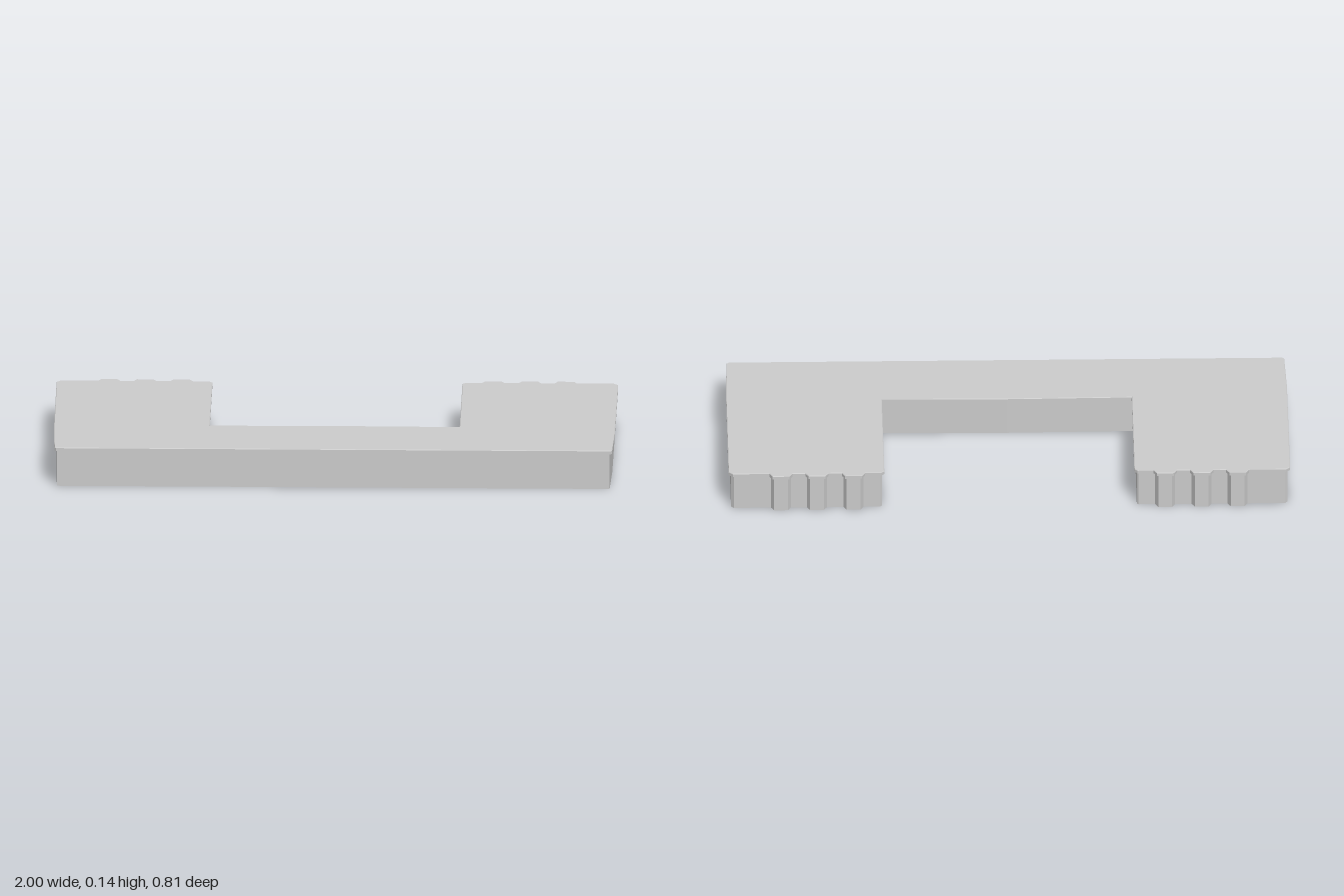
import * as THREE from 'three';

// Right half of the plan outline as [x, z], from notch centre round to front centre
function halfOutline() {
  const back = -0.387, ridge = -0.407;
  const pts = [[0, 0.13], [0.445, 0.135], [0.445, -0.375], [0.457, back]];
  for (const c of [0.555, 0.685, 0.813]) {
    pts.push([c - 0.041, back], [c - 0.03, ridge], [c + 0.03, ridge], [c + 0.041, back]);
  }
  pts.push([0.985, back], [1, -0.372], [0.999, 0.2], [0.993, 0.4], [0.987, 0.407]);
  return pts;
}

function fullOutline() {
  const half = halfOutline();
  const mirrored = half.slice(1).reverse().map(([x, z]) => [-x, z]);
  return [...half, ...mirrored].map(([x, z]) => new THREE.Vector2(x, z));
}

// Move every edge inward by d, with mitred corners
function inset(pts, d) {
  const n = pts.length;
  const normal = (a, b) => {
    const t = b.clone().sub(a).normalize();
    return new THREE.Vector2(-t.y, t.x);
  };
  return pts.map((p, i) => {
    const n1 = normal(pts[(i + n - 1) % n], p);
    const n2 = normal(p, pts[(i + 1) % n]);
    const m = n1.clone().add(n2);
    return p.clone().addScaledVector(m, d / (1 + n1.dot(n2)));
  });
}

// Wall surface joining outlines at successive heights
function loft(rows) {
  const n = rows[0].pts.length, pos = [], idx = [];
  for (const { pts, y } of rows) for (const p of pts) pos.push(p.x, y, p.y);
  for (let r = 0; r < rows.length - 1; r++) {
    for (let i = 0; i < n; i++) {
      const a = r * n + i, b = r * n + (i + 1) % n;
      idx.push(a, a + n, b, b, a + n, b + n);
    }
  }
  const g = new THREE.BufferGeometry();
  g.setAttribute('position', new THREE.Float32BufferAttribute(pos, 3));
  g.setIndex(idx);
  const flat = g.toNonIndexed();
  flat.computeVertexNormals();
  return flat;
}

export function createModel() {
  const group = new THREE.Group();
  const mat = new THREE.MeshStandardMaterial({
    color: 0xcccccc, flatShading: true, side: THREE.DoubleSide,
  });
  const add = (name, geo) => {
    const mesh = new THREE.Mesh(geo, mat);
    mesh.name = name;
    group.add(mesh);
  };

  const rim = fullOutline();
  const wall = inset(rim, 0.009);
  const top = inset(rim, 0.002);
  const lipY = 0.132, topY = 0.145;

  // Thin skirt, open underneath
  add('skirtWall', loft([{ pts: wall, y: 0 }, { pts: wall, y: lipY }]));

  // Overhanging lip with a fine bevel along its upper edge
  add('roofLip', loft([
    { pts: wall, y: lipY }, { pts: rim, y: lipY },
    { pts: rim, y: topY - 0.002 }, { pts: top, y: topY },
  ]));

  // Flat roof sheet
  const roof = new THREE.ShapeGeometry(new THREE.Shape(top));
  roof.rotateX(Math.PI / 2);
  roof.translate(0, topY, 0);
  // Reverse the triangles so the sheet faces up
  const order = roof.index.array;
  for (let i = 0; i < order.length; i += 3) {
    [order[i], order[i + 1]] = [order[i + 1], order[i]];
  }
  roof.computeVertexNormals();
  add('roofTop', roof);

  return group;
}
